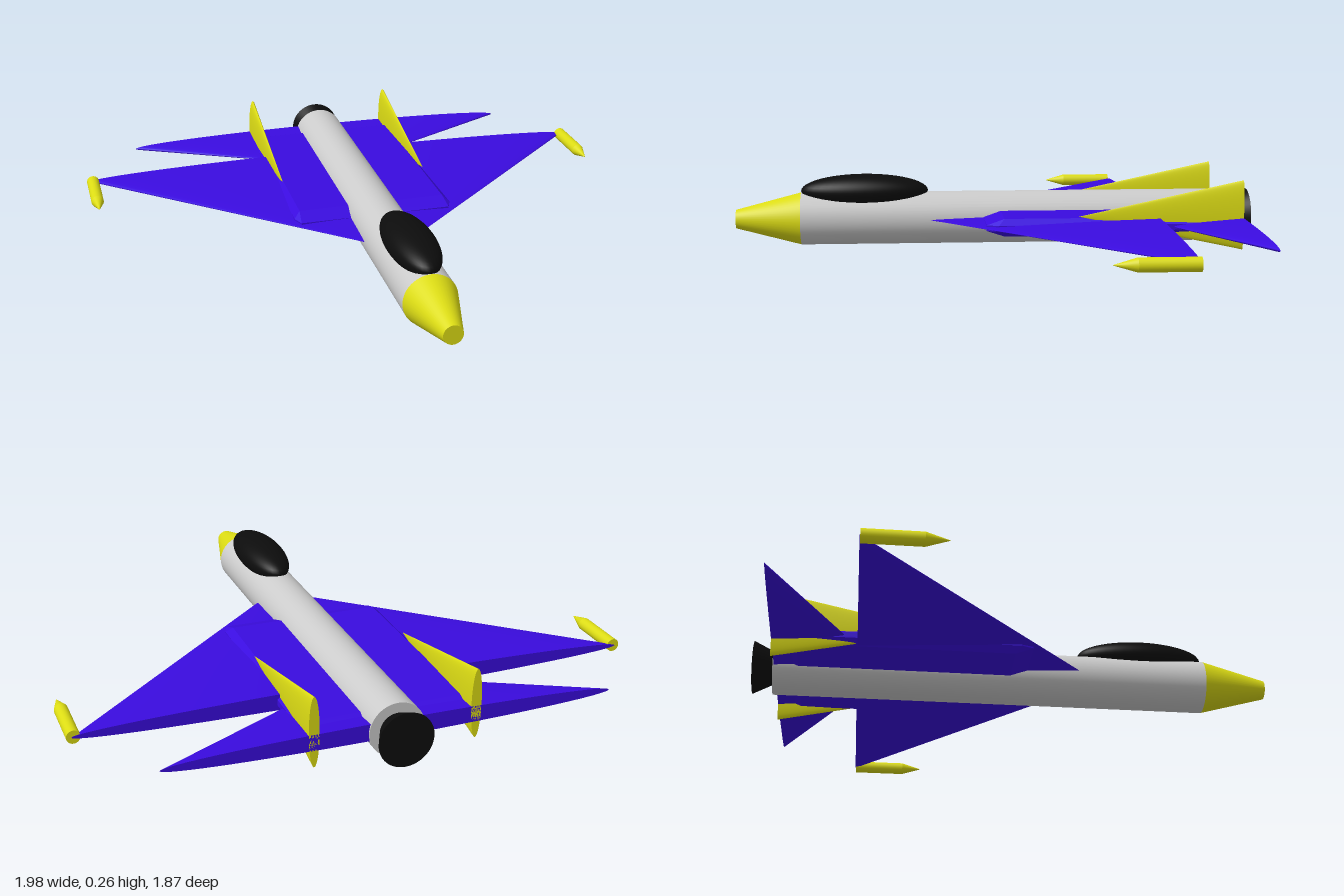
import * as THREE from 'three';
import { ConvexGeometry } from 'three/addons/geometries/ConvexGeometry.js';

const paint = (color) => new THREE.MeshStandardMaterial({ color });
const AXIS_Y = 0.097; // height of the fuselage centre line

export function createModel() {
  const model = new THREE.Group();
  const grey = paint(0xcccccc);
  const blue = paint(0x3a0bdf);
  const yellow = paint(0xdcdc14);
  const black = paint(0x0c0c0c);

  const add = (name, geometry, material, x = 0, y = AXIS_Y, z = 0) => {
    const mesh = new THREE.Mesh(geometry, material);
    mesh.name = name;
    mesh.position.set(x, y, z);
    model.add(mesh);
    return mesh;
  };

  // Round section along z, from the back end to the front end
  const tube = (backZ, frontZ, backR, frontR, segments = 48) =>
    new THREE.CylinderGeometry(frontR, backR, frontZ - backZ, segments)
      .rotateX(Math.PI / 2)
      .translate(0, 0, (frontZ + backZ) / 2);

  // Delta surface: a cone pointing forward, flattened to an ellipse
  const delta = (backZ, apexZ, halfWidth, halfHeight) => {
    const cone = new THREE.ConeGeometry(1, apexZ - backZ, 64);
    cone.rotateX(Math.PI / 2);
    cone.scale(halfWidth, halfHeight, 1);
    return cone.translate(0, 0, (apexZ + backZ) / 2);
  };

  // Fuselage
  add('fuselage', tube(-0.865, 0.7, 0.095, 0.095), grey);
  add('noseCone', tube(0.7, 0.935, 0.095, 0.034), yellow);
  add('exhaustNozzle', tube(-0.937, -0.865, 0.095, 0.06), black);
  add('canopy', new THREE.SphereGeometry(1, 40, 24).scale(0.086, 0.06, 0.23), black, 0, 0.198, 0.47);

  // Flat body between the wings, with chamfered rim
  const points = [];
  for (const sx of [-1, 1]) {
    for (const sy of [-1, 1]) {
      points.push(
        new THREE.Vector3(sx * 0.278, sy * 0.01, 0.042),
        new THREE.Vector3(sx * 0.295, sy * 0.01, 0.0),
        new THREE.Vector3(sx * 0.295, sy * 0.01, -0.79),
        new THREE.Vector3(sx * 0.278, sy * 0.01, -0.83),
        new THREE.Vector3(sx * 0.272, sy * 0.031, -0.02),
        new THREE.Vector3(sx * 0.272, sy * 0.031, -0.775)
      );
    }
  }
  add('wingRootBody', new ConvexGeometry(points), blue, 0, 0.1);

  // Wings and tailplane
  add('mainWing', delta(-0.567, 0.317, 0.975, 0.03), blue, 0, 0.1);
  add('tailplane', delta(-0.86, -0.46, 0.77, 0.03), blue, 0, 0.1);

  // Tail fins and wing tip pods on both sides
  for (const [side, s] of [['left', 1], ['right', -1]]) {
    add(side + 'TailFin', delta(-0.86, -0.28, 0.018, 0.123), yellow, s * 0.278, 0.137);
    add(side + 'TipPod', tube(-0.565, -0.37, 0.023, 0.023, 24), yellow, s * 0.968, 0.1);
    add(side + 'TipPodNose', tube(-0.37, -0.295, 0.023, 0.001, 24), yellow, s * 0.968, 0.1);
  }

  return model;
}
